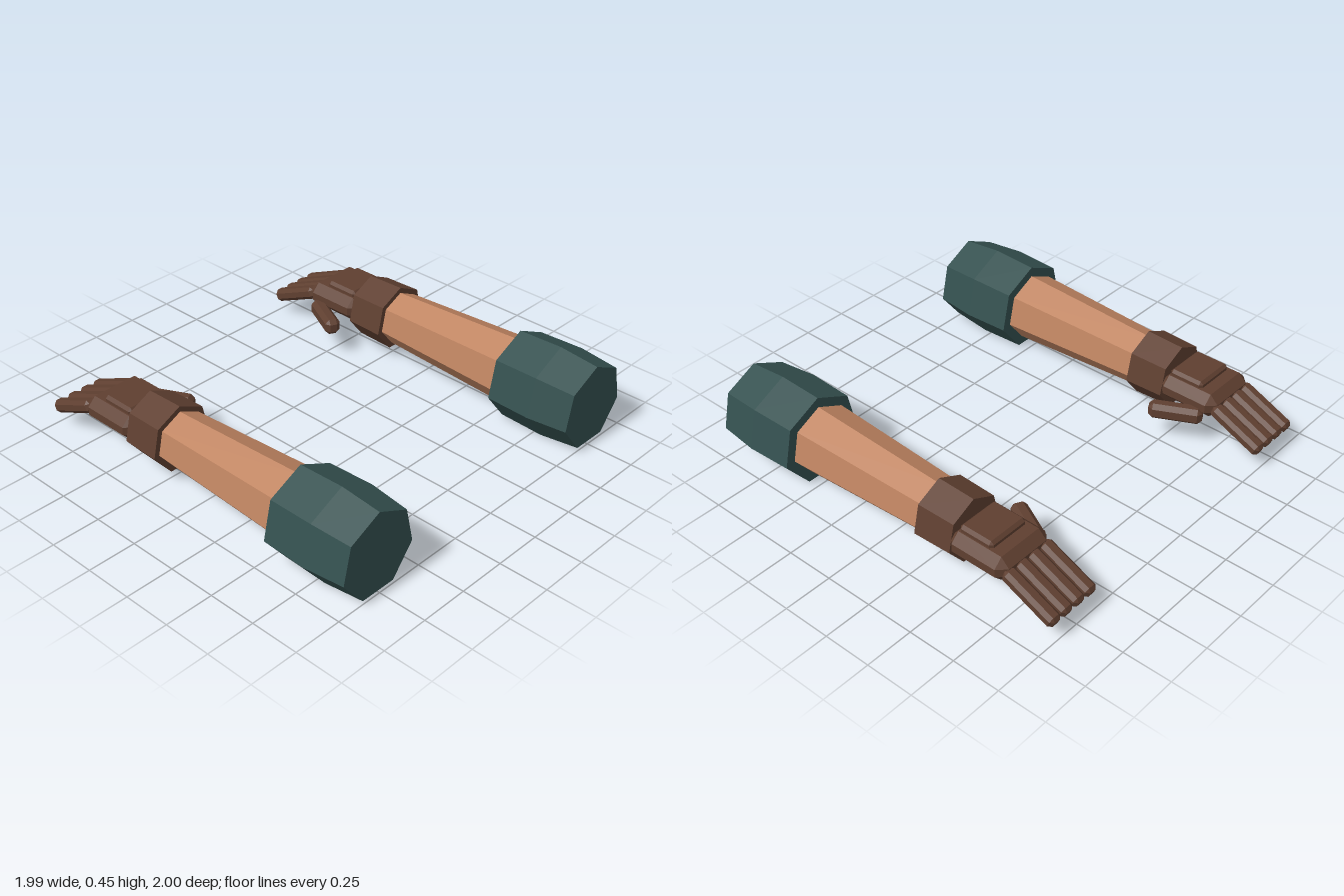
import * as THREE from 'three';
import { ConvexGeometry } from 'three/addons/geometries/ConvexGeometry.js';

const flat = (name, color) => {
  const m = new THREE.MeshStandardMaterial({ color, flatShading: true });
  m.name = name;
  return m;
};

// Closed seven-sided solid along z; rings are [z, radius] from back to front
function heptagonSolid(rings) {
  const first = rings[0], last = rings[rings.length - 1];
  const points = [[first[0], 0], ...rings, [last[0], 0]].map(([z, r]) => new THREE.Vector2(r, z));
  return new THREE.LatheGeometry(points, 7, Math.PI).rotateX(Math.PI / 2);
}

// Box with every edge and corner cut off by b
function chamferBox(w, h, d, b) {
  const half = [w / 2, h / 2, d / 2], points = [];
  for (let axis = 0; axis < 3; axis++)
    for (const sx of [-1, 1]) for (const sy of [-1, 1]) for (const sz of [-1, 1]) {
      const p = [sx, sy, sz].map((s, i) => s * (half[i] - (i === axis ? 0 : b)));
      points.push(new THREE.Vector3(...p));
    }
  return new ConvexGeometry(points);
}

export function createModel() {
  const model = new THREE.Group();
  model.name = 'arms';
  const cloth = flat('teal cloth', 0x34504f);
  const skin = flat('skin', 0xbf8461);
  const leather = flat('brown leather', 0x5f3f30);

  const sleeve = heptagonSolid([[0.55, 0.231], [0.79, 0.239], [1, 0.218]]);
  const forearm = heptagonSolid([[-0.25, 0.141], [0.58, 0.18]]);
  const cuff = heptagonSolid([[-0.425, 0.166], [-0.22, 0.172]]);
  const palm = chamferBox(0.33, 0.13, 0.335, 0.044);
  const plate = chamferBox(0.23, 0.06, 0.19, 0.015);
  const finger = chamferBox(0.07, 0.066, 0.305, 0.018);
  const thumb = chamferBox(0.08, 0.085, 0.265, 0.022);

  for (const side of [-1, 1]) {
    const arm = new THREE.Group();
    arm.name = side > 0 ? 'leftArm' : 'rightArm';
    arm.position.x = side * 0.76;
    const add = (name, geometry, material, x, y, z) => {
      const mesh = new THREE.Mesh(geometry, material);
      mesh.name = name;
      mesh.position.set(x, y, z);
      arm.add(mesh);
      return mesh;
    };

    add('sleeve', sleeve, cloth, 0, 0.221, 0);
    add('forearm', forearm, skin, 0, 0.221, 0);
    add('cuff', cuff, leather, 0, 0.221, 0);

    // Gloved hand
    add('palm', palm, leather, 0, 0.23, -0.567);
    add('backPlate', plate, leather, 0, 0.295, -0.535);
    for (let i = 0; i < 4; i++) {
      const f = add('finger' + (i + 1), finger, leather, side * (i - 1.5) * 0.079, 0.166, -0.854);
      f.rotation.x = -0.42;
    }
    // Thumb sits on the inner side of the hand and points back to the wrist
    add('thumb', thumb, leather, -side * 0.21, 0.177, -0.556).rotation.y = -side * 0.47;
    model.add(arm);
  }
  return model;
}
